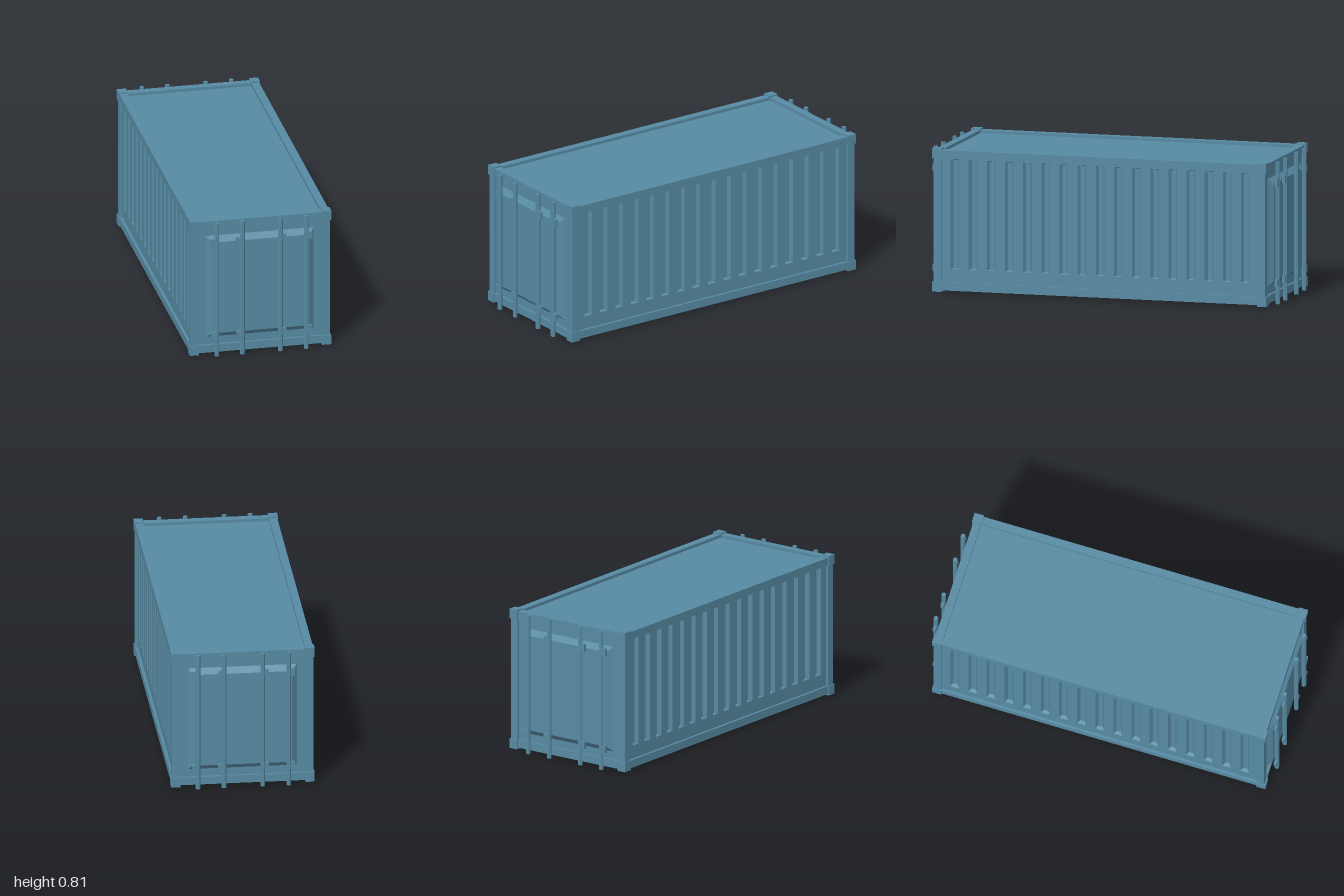
import * as THREE from 'three';

const paint = new THREE.MeshStandardMaterial({ color: 0x578aa3, flatShading: true });
const sheet = new THREE.MeshStandardMaterial({ color: 0x578aa3, flatShading: true, side: THREE.DoubleSide });

function add(parent, name, geometry, material, x = 0, y = 0, z = 0) {
  const mesh = new THREE.Mesh(geometry, material);
  mesh.name = name;
  mesh.position.set(x, y, z);
  parent.add(mesh);
  return mesh;
}

// Corners of a rectangle, counter-clockwise
function corners({ x0, x1, y0, y1 }, z = 0, dx = 0, dy = 0) {
  return [[x0 + dx, y0 + dy, z], [x1 - dx, y0 + dy, z], [x1 - dx, y1 - dy, z], [x0 + dx, y1 - dy, z]];
}

// Pressed tray with sloping sides: negative depth sinks it, positive raises it
function trayGeometry(rect, depth, dx, dy) {
  const rim = corners(rect), base = corners(rect, depth, dx, dy);
  const points = [];
  const quad = (a, b, c, d) => points.push(...a, ...b, ...c, ...a, ...c, ...d);
  for (let i = 0; i < 4; i++) {
    const j = (i + 1) % 4;
    quad(rim[i], rim[j], base[j], base[i]);
  }
  quad(...base);
  const geometry = new THREE.BufferGeometry();
  geometry.setAttribute('position', new THREE.Float32BufferAttribute(points, 3));
  geometry.computeVertexNormals();
  return geometry;
}

// Thin sheet wall facing +z, with trays pressed into it
function wall(name, halfWidth, rects, depth, dx, dy) {
  const group = new THREE.Group();
  group.name = name;
  const toPoints = r => corners(r).map(([x, y]) => new THREE.Vector2(x, y));
  const shape = new THREE.Shape(toPoints({ x0: -halfWidth, x1: halfWidth, y0: 0.027, y1: 0.78 }));
  for (const r of rects) shape.holes.push(new THREE.Path(toPoints(r)));
  add(group, name + 'Sheet', new THREE.ShapeGeometry(shape), sheet);
  for (const r of rects) add(group, name + 'Pressing', trayGeometry(r, depth, dx, dy), sheet);
  return group;
}

export function createModel() {
  const model = new THREE.Group();
  model.name = 'shippingContainer';
  const W = 0.395, L = 0.958, T = 0.045;      // frame half width, half length, thickness
  const LOW = 0.011, HIGH = 0.797;            // frame bottom and top
  const wallX = W - 0.015, wallZ = L - 0.015;

  // Frame of posts, rails and corner castings
  const postGeo = new THREE.BoxGeometry(T, HIGH - LOW, T);
  const castingGeo = new THREE.BoxGeometry(0.052, 0.055, 0.054);
  const sideRailGeo = new THREE.BoxGeometry(T, T, 2 * L);
  const endRailGeo = new THREE.BoxGeometry(2 * (W - T), T, T);
  for (const s of [-1, 1]) {
    for (const e of [-1, 1]) {
      add(model, 'cornerPost', postGeo, paint, s * (W - T / 2), (LOW + HIGH) / 2, e * (L - T / 2));
      for (const y of [0.03, 0.778]) {
        add(model, 'cornerCasting', castingGeo, paint, s * 0.374, y, e * 0.939);
      }
    }
    for (const y of [LOW + T / 2, HIGH - T / 2]) {
      add(model, 'sideRail', sideRailGeo, paint, s * (W - T / 2), y, 0);
      add(model, 'endRail', endRailGeo, paint, 0, y, s * (L - T / 2));
    }
  }

  // Roof sheet, slightly below the rails; the underside stays open
  const roof = add(model, 'roof', new THREE.PlaneGeometry(2 * wallX, 2 * wallZ), sheet, 0, 0.78, 0);
  roof.rotation.x = -Math.PI / 2;

  // Side walls with a row of sunken corrugations
  const grooves = [];
  for (let i = -8; i <= 8; i++) {
    const c = i * 0.105;
    grooves.push({ x0: c - 0.025, x1: c + 0.025, y0: 0.13, y1: 0.745 });
  }
  for (const s of [-1, 1]) {
    const side = wall('sideWall', wallZ, grooves, -0.02, 0.012, 0.005);
    side.rotation.y = s * Math.PI / 2;
    side.position.x = s * wallX;
    model.add(side);
  }

  // Ends with a raised door panel, lock rods and brackets
  const rodGeo = new THREE.CylinderGeometry(0.0135, 0.0135, 0.797, 6);
  rodGeo.rotateY(Math.PI / 2);
  const bracketGeo = new THREE.BoxGeometry(0.036, 0.041, 0.018);
  const panel = { x0: -0.304, x1: 0.304, y0: 0.1, y1: 0.705 };
  for (const turn of [0, Math.PI]) {
    const end = new THREE.Group();
    end.name = 'doorEnd';
    const doors = wall('endWall', wallX, [panel], 0.029, 0.03, 0.03);
    doors.position.z = wallZ;
    end.add(doors);
    for (const s of [-1, 1]) {
      for (const x of [0.108, 0.253]) {
        add(end, 'lockRod', rodGeo, paint, s * x, 0.3985, 0.988);
        for (const y of [0.12, 0.68]) {
          add(end, 'rodBracket', bracketGeo, paint, s * (x + 0.015), y, 0.988);
        }
      }
    }
    end.rotation.y = turn;
    model.add(end);
  }
  return model;
}
